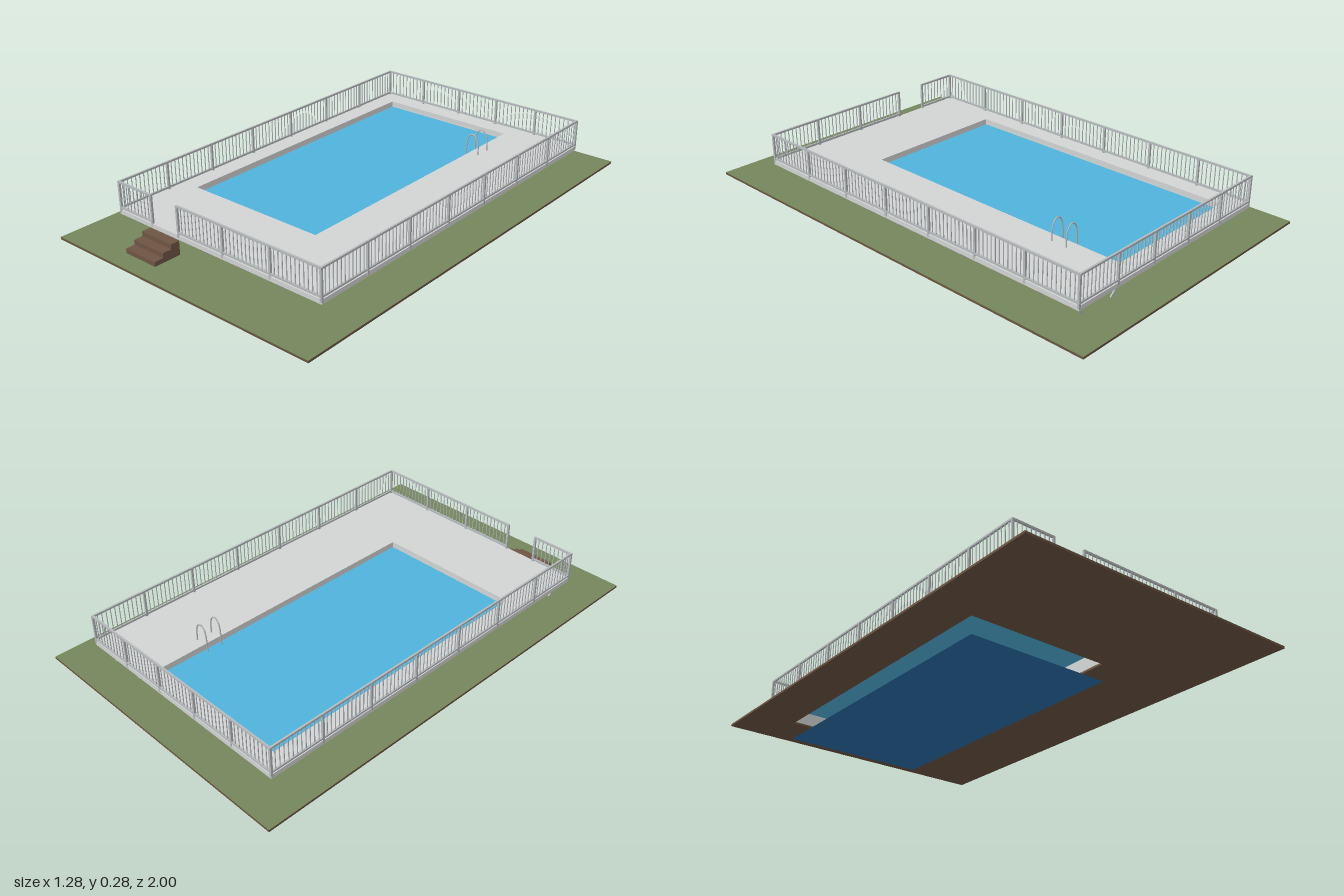
import * as THREE from 'three';
import { mergeGeometries } from 'three/addons/utils/BufferGeometryUtils.js';

const mat = (name, color, side = THREE.FrontSide) => {
  const m = new THREE.MeshStandardMaterial({ color, side });
  m.name = name;
  return m;
};

export function createModel() {
  const group = new THREE.Group();
  const grass = mat('grass', 0x74865b);
  const soil = mat('soil', 0x6b5541);
  const concrete = mat('deck grey', 0xd2d4d3);
  const panel = mat('wall panel', 0xd4d8d6);
  const steel = mat('steel', 0xb6babd);
  const wood = mat('step wood', 0x6e5544);
  const water = mat('water', 0x4fb2dc, THREE.DoubleSide);
  const floorBlue = mat('pool floor', 0x2a6ea8, THREE.DoubleSide);

  const add = (name, geometry, material) => {
    const m = new THREE.Mesh(geometry, material);
    m.name = name;
    group.add(m);
    return m;
  };
  // box given by its minimum and maximum corners
  const box = (x0, x1, y0, y1, z0, z1) =>
    new THREE.BoxGeometry(x1 - x0, y1 - y0, z1 - z0)
      .translate((x0 + x1) / 2, (y0 + y1) / 2, (z0 + z1) / 2);
  // square bar between two points
  const bar = (a, b, t) => {
    const p = new THREE.Vector3(...a), q = new THREE.Vector3(...b);
    const d = q.clone().sub(p);
    const turn = new THREE.Quaternion().setFromUnitVectors(new THREE.Vector3(0, 1, 0), d.clone().normalize());
    return new THREE.BoxGeometry(t, d.length(), t).applyQuaternion(turn)
      .translate((p.x + q.x) / 2, (p.y + q.y) / 2, (p.z + q.z) / 2);
  };

  // rectangles as [x0, x1, z0, z1]
  const pool = [-0.44, 0.2, -0.8, 0.475];
  const deck = [-0.52, 0.52, -0.88, 0.8];
  const wall = [-0.455, 0.215, -0.815, 0.495];
  const trace = (path, [x0, x1, z0, z1]) => {
    path.moveTo(x0, -z1);
    path.lineTo(x1, -z1);
    path.lineTo(x1, -z0);
    path.lineTo(x0, -z0);
    path.closePath();
    return path;
  };
  const ring = (outer) => {
    const s = trace(new THREE.Shape(), outer);
    s.holes.push(trace(new THREE.Path(), pool));
    return s;
  };
  const frame = (outer, y0, y1) =>
    new THREE.ExtrudeGeometry(ring(outer), { depth: y1 - y0, bevelEnabled: false })
      .rotateX(-Math.PI / 2).translate(0, y0, 0);

  // ground slab with grass on top
  const plot = [-0.64, 0.64, -1, 1];
  add('groundSlab', frame(plot, 0.073, 0.082), soil);
  add('lawn', new THREE.ShapeGeometry(ring(plot)).rotateX(-Math.PI / 2).translate(0, 0.0828, 0), grass);

  // basin wall above ground, and the deck over it
  add('basinWall', frame(wall, 0.082, 0.144), panel);
  add('deck', frame(deck, 0.144, 0.163), concrete);

  // pool floor and water
  const [px0, px1, pz0, pz1] = pool;
  const sheet = (y) => new THREE.PlaneGeometry(px1 - px0, pz1 - pz0).rotateX(-Math.PI / 2)
    .translate((px0 + px1) / 2, y, (pz0 + pz1) / 2);
  add('poolFloor', sheet(0), floorBlue);
  add('waterSurface', sheet(0.137), water);

  // diagonal braces under the deck, with slim ribs on the basin wall
  const braces = [];
  const top = 0.144, foot = 0.082, t = 0.006, r = 0.002;
  for (let i = 0; i < 5; i++) {
    const x = -0.48 + i * 0.191;
    braces.push(bar([x, top, 0.795], [x, foot, 0.725], t));
    braces.push(bar([x, top, 0.52], [x, foot, 0.585], t));
    braces.push(bar([x, top, -0.85], [x, 0.115, -0.815], t));
    if (i > 0 && i < 4) braces.push(box(x - r, x + r, foot, top, -0.818, -0.815));
  }
  for (let i = 0; i < 8; i++) {
    const z = 0.45 - i * 0.1845;
    braces.push(bar([0.51, top, z], [0.445, foot, z], t));
    braces.push(bar([0.235, top, z], [0.3, foot, z], t));
    braces.push(bar([-0.485, top, z], [-0.455, 0.115, z], t));
    if (i < 7) {
      braces.push(box(0.215, 0.218, foot, top, z - r, z + r));
      braces.push(box(-0.458, -0.455, foot, top, z - r, z + r));
    }
  }
  add('deckBraces', mergeGeometries(braces), steel);

  // railing run: posts, rails and balusters
  const railing = (name, a, b, sections, perSection) => {
    const parts = [];
    const upright = (f, size, y0, y1) => {
      const x = a[0] + (b[0] - a[0]) * f, z = a[1] + (b[1] - a[1]) * f;
      parts.push(box(x - size / 2, x + size / 2, y0, y1, z - size / 2, z + size / 2));
    };
    const n = sections * perSection;
    for (let i = 0; i <= n; i++) {
      if (i % perSection === 0) upright(i / n, 0.009, 0.15, 0.283);
      else upright(i / n, 0.003, 0.172, 0.28);
    }
    for (const y of [0.172, 0.28]) parts.push(bar([a[0], y, a[1]], [b[0], y, b[1]], 0.008));
    add(name, mergeGeometries(parts), steel);
  };
  const ex = 0.516, ezF = 0.796, ezB = -0.876;
  railing('rightRailing', [-ex, ezF], [-ex, ezB], 7, 12);
  railing('leftRailing', [ex, ezF], [ex, ezB], 7, 12);
  railing('backRailing', [-ex, ezB], [ex, ezB], 5, 10);
  railing('frontRailingShort', [-ex, ezF], [-0.332, ezF], 1, 9);
  railing('frontRailingLong', [-0.187, ezF], [ex, ezF], 3, 12);

  // entry steps
  for (let i = 0; i < 3; i++) {
    add('step' + (i + 1), box(-0.345, -0.183, 0.082, 0.102 + i * 0.02, 0.88 - i * 0.04, 0.92 - i * 0.04), wood);
  }

  // pool ladder: two hooped rails and rungs
  const ladder = [];
  const pts = [[0.245, 0.16], [0.243, 0.21], [0.234, 0.238], [0.215, 0.25], [0.196, 0.238],
    [0.187, 0.21], [0.184, 0.15], [0.184, 0.045], [0.187, 0.025], [0.195, 0.018]];
  for (const z of [-0.523, -0.592]) {
    const curve = new THREE.CatmullRomCurve3(pts.map(([x, y]) => new THREE.Vector3(x, y, z)));
    ladder.push(new THREE.TubeGeometry(curve, 40, 0.003, 8));
  }
  for (const y of [0.058, 0.105]) ladder.push(box(0.178, 0.19, y - 0.003, y + 0.003, -0.592, -0.523));
  add('poolLadder', mergeGeometries(ladder), steel);

  return group;
}
